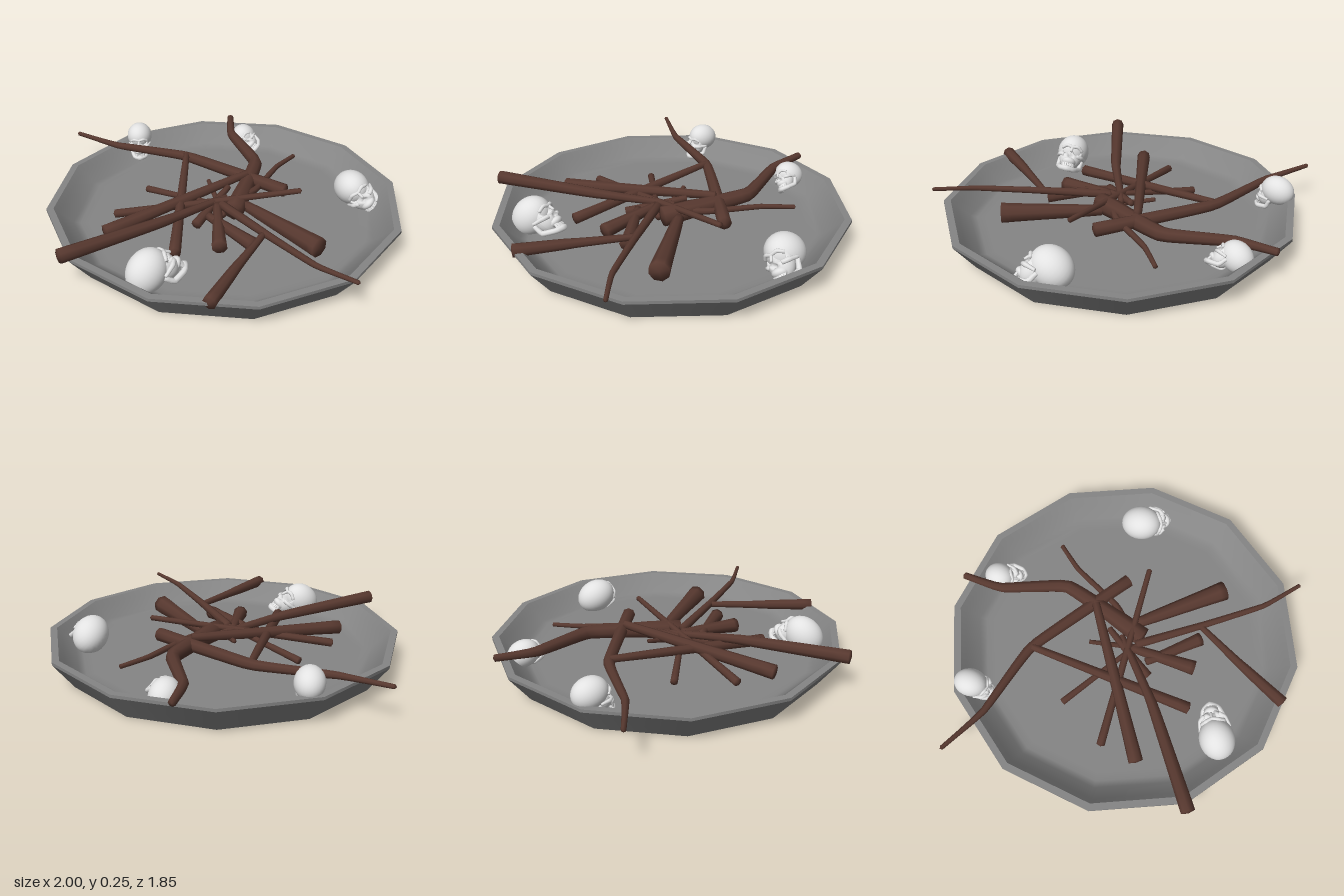
import * as THREE from 'three';
import { mergeVertices } from 'three/addons/utils/BufferGeometryUtils.js';

const stone = new THREE.MeshStandardMaterial({ color: 0x858585 });
stone.name = 'grey stone';
const wood = new THREE.MeshStandardMaterial({ color: 0x57382f });
wood.name = 'brown wood';
const bone = new THREE.MeshStandardMaterial({ color: 0xe2e2e2 });
bone.name = 'pale bone';

const { lerp } = THREE.MathUtils;

function add(parent, name, geometry, material) {
  const mesh = new THREE.Mesh(geometry, material);
  mesh.name = name;
  parent.add(mesh);
  return mesh;
}

// Closed tapered limb through points [x, y, z, radius]
function limb(points, segments = 24, sides = 8) {
  const curve = new THREE.CatmullRomCurve3(
    points.map(([x, y, z]) => new THREE.Vector3(x, y, z)), false, 'catmullrom', 0.15);
  const geo = new THREE.TubeGeometry(curve, segments, 1, sides, false);
  const pos = geo.attributes.position;
  const v = new THREE.Vector3();
  for (let i = 0; i <= segments; i++) {
    const u = i / segments;
    const t = curve.getUtoTmapping(u) * (points.length - 1);
    const k = Math.min(Math.floor(t), points.length - 2);
    let r = lerp(points[k][3], points[k + 1][3], t - k);
    const centre = curve.getPointAt(u);
    // end rings close the limb; their neighbours slide outward to keep the ends blunt
    const target = centre.clone();
    if (i === 0 || i === segments) r = 0;
    if (i === 1) target.lerp(curve.getPointAt(0), 0.8);
    if (i === segments - 1) target.lerp(curve.getPointAt(1), 0.8);
    for (let j = 0; j <= sides; j++) {
      const n = i * (sides + 1) + j;
      v.fromBufferAttribute(pos, n).sub(centre).multiplyScalar(r).add(target);
      pos.setXYZ(n, v.x, v.y, v.z);
    }
  }
  geo.deleteAttribute('normal');
  geo.deleteAttribute('uv');
  const welded = mergeVertices(geo, 1e-5);
  welded.computeVertexNormals();
  return welded;
}

// Twelve-sided dish; repeated profile points keep the rim and foot crisp
function makeDish() {
  const profile = [
    [0, 0], [0.8, 0], [0.8, 0], [0.9, 0.135], [0.9, 0.135], [0.9, 0.15], [0.9, 0.15],
    [0.865, 0.15], [0.865, 0.15], [0.84, 0.125], [0.775, 0.06], [0.74, 0.05], [0.7, 0.05], [0, 0.05],
  ].map(([x, y]) => new THREE.Vector2(x, y));
  return new THREE.LatheGeometry(profile, 12);
}

// Face mass with eye sockets and a nose opening pressed in
function makeFace() {
  const geo = new THREE.SphereGeometry(1, 36, 30);
  geo.scale(0.62, 0.78, 0.6);
  geo.translate(0, -0.5, 0.5);
  const pos = geo.attributes.position;
  const pits = [[0.28, -0.36, 0.2, 0.4], [-0.28, -0.36, 0.2, 0.4], [0, -0.7, 0.12, 0.25]];
  for (let i = 0; i < pos.count; i++) {
    const x = pos.getX(i), y = pos.getY(i);
    let z = pos.getZ(i);
    if (z < 0.5) continue;
    for (const [px, py, r, depth] of pits) {
      const d = Math.hypot(x - px, y - py) / r;
      z -= depth * Math.exp(-(d ** 4));
    }
    pos.setZ(i, z);
  }
  geo.computeVertexNormals();
  return geo;
}

// Limb mirrored about x = 0, from its right half plus a middle point
function mirroredLimb(half, middle, segments) {
  const left = half.map(([x, y, z, r]) => [-x, y, z, r]);
  return limb([...left, middle, ...half.slice().reverse()], segments);
}

// Skull parts, facing +z, in units of the cranium radius
function makeSkullParts() {
  const parts = [];
  const cranium = new THREE.SphereGeometry(1, 28, 20);
  cranium.scale(0.84, 0.88, 1.04);
  const upperJaw = new THREE.SphereGeometry(1, 18, 12);
  upperJaw.scale(0.38, 0.24, 0.4);
  upperJaw.translate(0, -0.98, 0.76);
  parts.push(['cranium', cranium], ['face', makeFace()], ['upperJaw', upperJaw]);
  parts.push(['brow', mirroredLimb(
    [[0.56, -0.25, 0.78, 0.08], [0.3, -0.12, 1, 0.1]], [0, -0.2, 1.06, 0.08], 24)]);
  parts.push(['noseBridge', limb([[0, -0.2, 1.04, 0.09], [0, -0.52, 1.16, 0.06]], 8)]);
  parts.push(['lowerJaw', mirroredLimb(
    [[0.6, -0.55, 0.12, 0.1], [0.56, -1.08, 0.2, 0.14], [0.36, -1.38, 0.76, 0.14]], [0, -1.44, 0.98, 0.17], 36)]);
  for (const s of [-1, 1]) {
    parts.push(['cheekbone', limb([
      [s * 0.34, -0.66, 0.96, 0.1], [s * 0.58, -0.6, 0.74, 0.12], [s * 0.72, -0.5, 0.2, 0.07]], 12)]);
  }
  for (const y of [-1.16, -1.25]) {
    for (let i = -3; i <= 3; i++) {
      const a = i * 0.32;
      const tooth = new THREE.BoxGeometry(0.1, 0.12, 0.08);
      tooth.rotateY(a);
      tooth.translate(Math.sin(a) * 0.34, y, 0.72 + Math.cos(a) * 0.28);
      parts.push(['tooth', tooth]);
    }
  }
  return parts;
}

// Place a skull by cranium centre, radius, up direction and face direction
function makeSkull(parts, centre, radius, up, face) {
  const group = new THREE.Group();
  group.name = 'skull';
  for (const [name, geo] of parts) add(group, name, geo, bone);
  const y = new THREE.Vector3(...up).normalize();
  const x = new THREE.Vector3().crossVectors(y, new THREE.Vector3(...face)).normalize();
  const z = new THREE.Vector3().crossVectors(x, y);
  group.quaternion.setFromRotationMatrix(new THREE.Matrix4().makeBasis(x, y, z));
  group.position.set(...centre);
  group.scale.setScalar(radius);
  return group;
}

// Bent branch: height and radius run evenly from thin tip to thick butt
function bentBranch([y0, y1], [r0, r1], ...path) {
  return limb(path.map(([x, z], i) => {
    const t = i / (path.length - 1);
    return [x, lerp(y0, y1, t), z, lerp(r0, r1, t)];
  }));
}

// Straight stick: the thick butt rests on the dish floor, the thin tip leans on the pile
function straightStick(x, z, r, tipX, tipZ, tipY) {
  return limb([[x, 0.06 + r, z, r], [tipX, tipY, tipZ, r * 0.35 + 0.005]]);
}

function makePile() {
  const pile = new THREE.Group();
  pile.name = 'branchPile';
  const bent = [
    bentBranch([0.19, 0.13], [0.009, 0.037], [-1, 0.24], [-0.75, 0.12], [-0.43, -0.13], [0.18, -0.33]),
    bentBranch([0.17, 0.11], [0.016, 0.056], [-0.65, -0.63], [-0.48, -0.5], [-0.15, -0.4], [0.03, -0.16], [0.14, 0]),
    bentBranch([0.12, 0.13], [0.011, 0.02], [-0.1, -0.65], [-0.06, -0.48], [0.06, -0.22], [0.08, -0.08]),
    bentBranch([0.19, 0.14], [0.009, 0.024], [1, 0.02], [0.78, 0.06], [0.43, 0.05], [0.08, 0.03]),
    bentBranch([0.155, 0.15], [0.015, 0.034], [0.43, 0.05], [0.55, 0.32], [0.67, 0.57]),
    bentBranch([0.13, 0.18], [0.015, 0.037], [0.03, -0.05], [0.05, 0.35], [0.025, 0.92]),
  ];
  const straight = [
    straightStick(0.23, 0.43, 0.033, -0.43, -0.13, 0.165),
    straightStick(0.64, -0.11, 0.056, 0.13, -0.09, 0.11),
    straightStick(0.42, 0.1, 0.04, 0.1, 0.13, 0.12),
    straightStick(0.33, 0.24, 0.042, 0.06, 0.04, 0.13),
    straightStick(-0.26, 0.46, 0.023, 0.29, -0.33, 0.185),
    straightStick(-0.12, 0.6, 0.04, -0.04, -0.25, 0.17),
    straightStick(-0.37, 0.18, 0.02, 0.1, 0.03, 0.14),
    straightStick(0.1, 0.03, 0.017, -0.14, -0.06, 0.15),
    straightStick(0.09, 0.2, 0.028, -0.02, -0.1, 0.15),
  ];
  for (const geo of bent) add(pile, 'bentBranch', geo, wood);
  for (const geo of straight) add(pile, 'straightStick', geo, wood);
  return pile;
}

export function createModel() {
  const model = new THREE.Group();
  model.name = 'firePit';
  add(model, 'dish', makeDish(), stone).position.set(0.035, 0, -0.03);
  const parts = makeSkullParts();
  model.add(
    makePile(),
    makeSkull(parts, [0.355, 0.125, -0.635], 0.106, [-0.6, 0.6, 0.35], [0.7, 0.3, 0.5]),
    makeSkull(parts, [0.295, 0.125, 0.625], 0.106, [-0.25, 0.6, 0.65], [0.1, 0.25, -0.9]),
    makeSkull(parts, [-0.47, 0.125, -0.585], 0.08, [-0.75, 0.55, 0.25], [0.55, 0.3, 0.55]),
    makeSkull(parts, [-0.77, 0.18, -0.04], 0.083, [-0.2, 0.95, -0.12], [0.75, 0, 0.55]),
  );
  return model;
}
